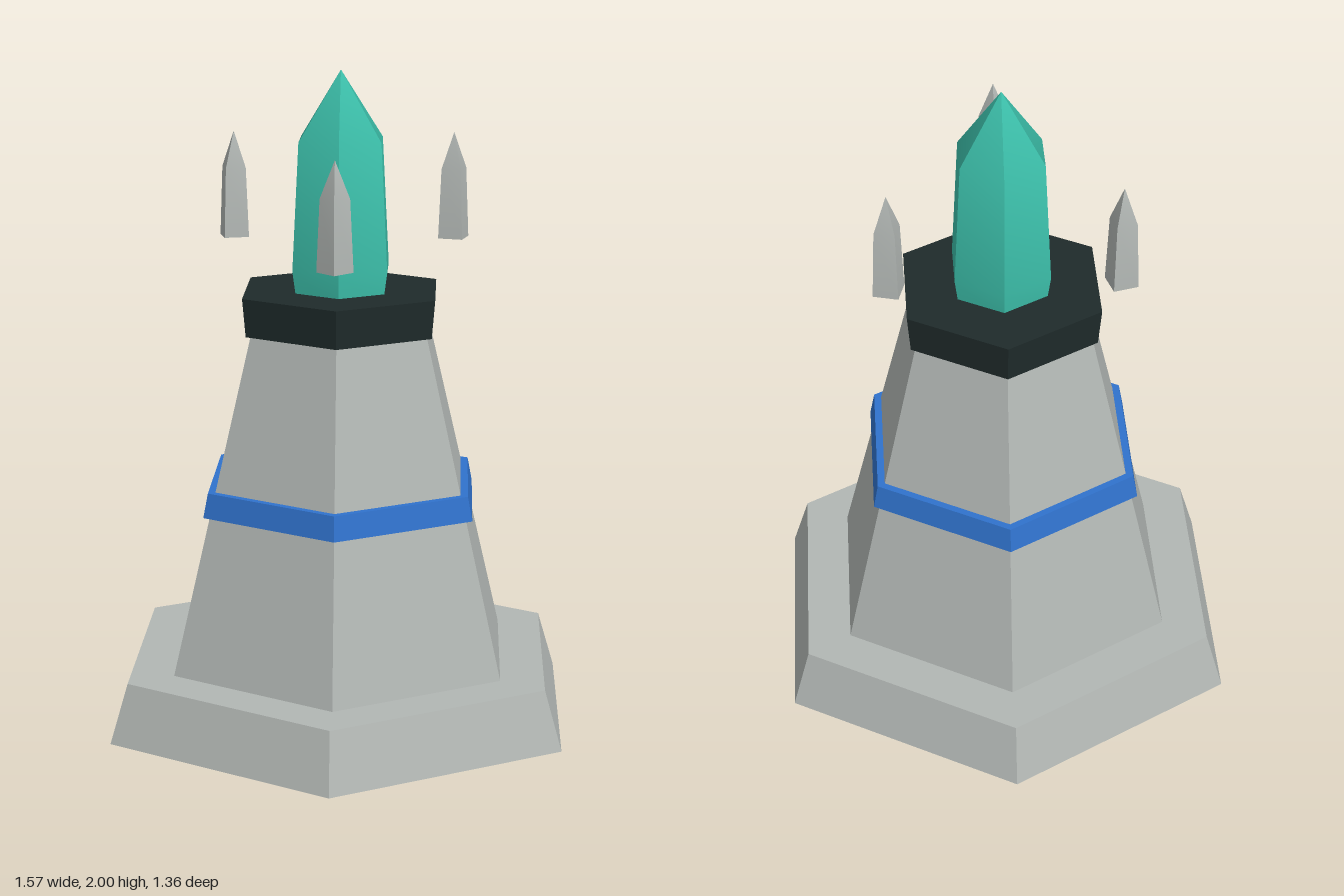
import * as THREE from 'three';
import { toCreasedNormals } from 'three/addons/utils/BufferGeometryUtils.js';

const paint = (name, color) => {
  const m = new THREE.MeshStandardMaterial({ color });
  m.name = name;
  return m;
};

// Faceted solid from a [radius, height] profile, with one corner on +x
function faceted(name, profile, sides, material) {
  const points = profile.map(([r, y]) => new THREE.Vector2(r, y));
  const lathe = new THREE.LatheGeometry(points, sides, Math.PI / 2);
  const mesh = new THREE.Mesh(toCreasedNormals(lathe, 0.6), material);
  mesh.name = name;
  return mesh;
}

// Closed tapered slab
const slab = (r0, y0, r1, y1) => [[0, y0], [r0, y0], [r1, y1], [0, y1]];

export function createModel() {
  const stone = paint('stone', 0xb2b7b4);
  const blue = paint('blue band', 0x3072cc);
  const dark = paint('dark collar', 0x1f2b2b);
  const teal = paint('teal crystal', 0x3cbfaa);

  const tower = new THREE.Group();
  tower.name = 'crystalTower';

  // Tower, stacked from the ground up
  tower.add(
    faceted('base', slab(0.787, 0, 0.727, 0.183), 6, stone),
    faceted('shaft', slab(0.574, 0.18, 0.302, 1.23), 6, stone),
    faceted('band', slab(0.469, 0.67, 0.453, 0.745), 6, blue),
    faceted('collar', slab(0.322, 1.215, 0.333, 1.333), 6, dark),
    faceted('crystal', [[0, 1.3], [0.15, 1.3], [0.165, 1.4], [0.143, 1.79], [0, 2]], 6, teal)
  );

  // Three floating shards around the crystal
  for (let i = 0; i < 3; i++) {
    const pivot = new THREE.Group();
    pivot.name = 'shardPivot' + (i + 1);
    pivot.rotation.y = (i * Math.PI * 2) / 3;
    const shard = faceted('shard', [[0, 1.46], [0.054, 1.46], [0.044, 1.675], [0, 1.787]], 4, stone);
    shard.position.x = 0.392;
    pivot.add(shard);
    tower.add(pivot);
  }
  return tower;
}
